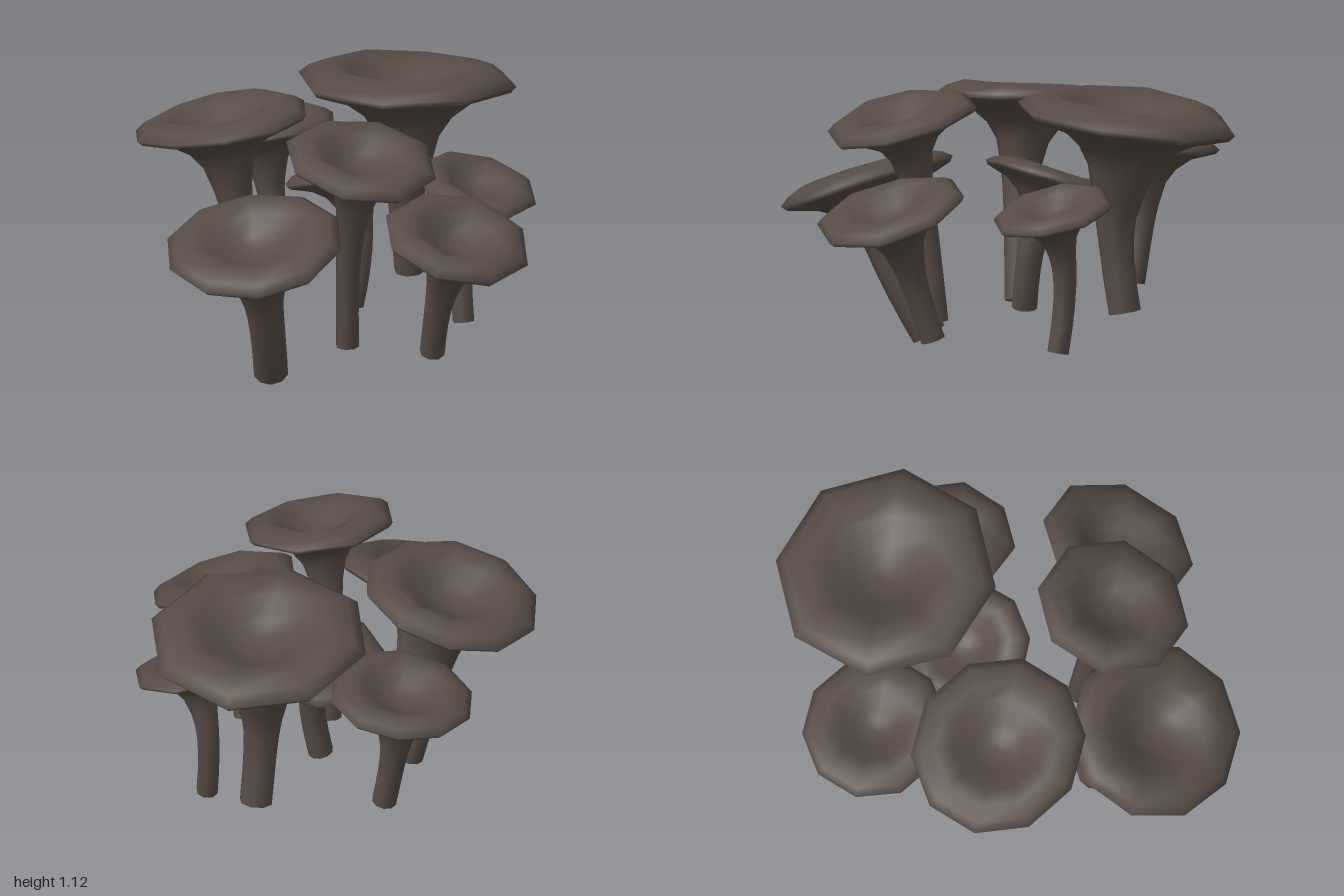
import * as THREE from 'three';

const UP = new THREE.Vector3(0, 1, 0);

// Each mushroom: foot, rim centre, cap half widths in x and z, rim slope in x and z,
// stem radius, number of sides, and turn of the first corner as a fraction of a side
const MUSHROOMS = [
  { name: 'leftLeaningMushroom', foot: [-0.41, 0.025, -0.07], cap: [-0.66, 0.66, 0.025], size: [0.362, 0.357], slope: [0.33, -0.06], stem: 0.073, sides: 10, turn: 0 },
  { name: 'tallBackMushroom', foot: [-0.13, 0.16, -0.31], cap: [-0.21, 0.978, -0.468], size: [0.352, 0.358], slope: [0.05, 0.19], stem: 0.058, sides: 10, turn: 0 },
  { name: 'smallBackMushroom', foot: [0.29, 0.245, -0.52], cap: [0.295, 0.805, -0.615], size: [0.295, 0.29], slope: [0, 0.13], stem: 0.052, sides: 10, turn: 0 },
  { name: 'largestMushroom', foot: [0.575, 0.2, -0.075], cap: [0.575, 1.015, -0.09], size: [0.425, 0.422], slope: [-0.11, 0.05], stem: 0.068, sides: 8, turn: 0.5 },
  { name: 'tallFrontMushroom', foot: [-0.2, 0.125, 0.165], cap: [-0.285, 0.975, 0.295], size: [0.295, 0.294], slope: [0.11, -0.25], stem: 0.048, sides: 8, turn: 0.5 },
  { name: 'lowFrontMushroom', foot: [-0.01, 0.1, 0.455], cap: [-0.09, 0.65, 0.64], size: [0.3, 0.282], slope: [0.1, -0.39], stem: 0.052, sides: 8, turn: 0.5 },
  { name: 'middleMushroom', foot: [0.1, 0.185, -0.03], cap: [0.18, 0.72, -0.1], size: [0.272, 0.265], slope: [-0.13, 0.32], stem: 0.052, sides: 10, turn: 0 },
  { name: 'smallFrontMushroom', foot: [0.48, 0.065, 0.26], cap: [0.495, 0.662, 0.32], size: [0.235, 0.235], slope: [0.03, -0.32], stem: 0.045, sides: 8, turn: 0.5 },
];

// Trumpet underside, lip, raised rim and hollow: [radius, height] per unit of cap size
const CAP_PROFILE = [
  [0.3, -0.5], [0.42, -0.32], [0.62, -0.18], [0.95, -0.08],
  [1, -0.02], [0.9, 0.06], [0.71, 0.13], [0.52, 0.06], [0.3, -0.09], [0.14, -0.14], [0, -0.15],
];

function mushroomGeometry({ foot, cap, size, slope, stem, sides, turn }, index) {
  const centre = new THREE.Vector3(...cap);
  const base = new THREE.Vector3(...foot);
  const normal = new THREE.Vector3(-slope[0], 1, -slope[1]).normalize();
  const angles = Array.from({ length: sides }, (_, j) => ((j + turn) / sides) * Math.PI * 2);
  // Corner radii that give the wanted half widths
  const radiusX = size[0] / Math.max(...angles.map((a) => Math.cos(a)));
  const radiusZ = size[1] / Math.max(...angles.map((a) => Math.sin(a)));
  const mean = (radiusX + radiusZ) / 2;
  const rings = [];

  // Curved stem, closed at the foot
  const neck = centre.clone().addScaledVector(normal, -0.78 * mean);
  const bend = neck.clone().addScaledVector(normal, -0.35 * neck.distanceTo(base));
  const path = new THREE.QuadraticBezierCurve3(base, bend, neck);
  const leanAt = (t) => new THREE.Quaternion().setFromUnitVectors(UP, path.getTangent(t));
  rings.push({ at: base, lean: leanAt(0), rx: 0, rz: 0 });
  rings.push({ at: base, lean: leanAt(0), rx: stem, rz: stem });
  for (let i = 0; i <= 5; i++) {
    const t = i / 5;
    const r = stem + (0.23 * mean - stem) * t ** 3;
    rings.push({ at: path.getPoint(t), lean: leanAt(t), rx: r, rz: r });
  }

  // Tilted cap
  const tilt = new THREE.Quaternion().setFromUnitVectors(UP, normal);
  for (const [r, h] of CAP_PROFILE) {
    rings.push({
      at: centre.clone().addScaledVector(normal, h * mean),
      lean: tilt, rx: r * radiusX, rz: r * radiusZ, wave: r > 0.6 ? 0.02 * mean : 0,
    });
  }

  const positions = [];
  const indices = [];
  for (const { at, lean, rx, rz, wave = 0 } of rings) {
    for (const a of angles) {
      const lift = wave * Math.sin(2 * a + index * 1.7);
      const p = new THREE.Vector3(Math.cos(a) * rx, lift, Math.sin(a) * rz).applyQuaternion(lean).add(at);
      positions.push(p.x, p.y, p.z);
    }
  }
  for (let i = 0; i < rings.length - 1; i++) {
    if (i === 1) continue; // sharp edge between foot disc and stem
    for (let j = 0; j < sides; j++) {
      const k = (j + 1) % sides;
      const a = i * sides + j, b = i * sides + k;
      const c = a + sides, d = b + sides;
      indices.push(a, c, b, b, c, d);
    }
  }
  const geometry = new THREE.BufferGeometry();
  geometry.setAttribute('position', new THREE.Float32BufferAttribute(positions, 3));
  geometry.setIndex(indices);
  geometry.computeVertexNormals();
  return geometry;
}

export function createModel() {
  const group = new THREE.Group();
  group.name = 'mushroomCluster';
  const darkBrown = new THREE.MeshStandardMaterial({ color: 0x574b45 });
  darkBrown.name = 'darkBrown';
  MUSHROOMS.forEach((spec, i) => {
    const mesh = new THREE.Mesh(mushroomGeometry(spec, i), darkBrown);
    mesh.name = spec.name;
    group.add(mesh);
  });
  return group;
}
